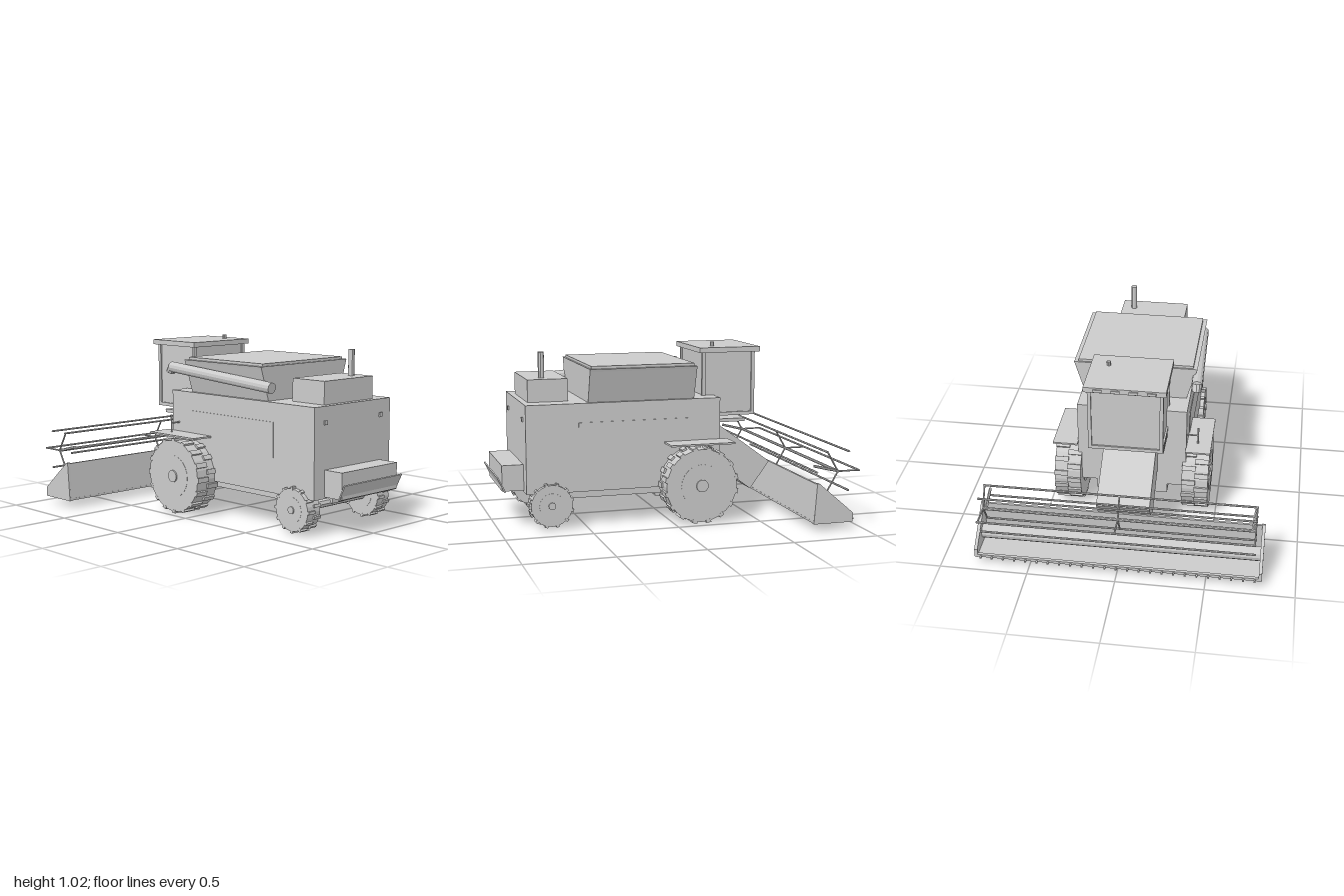
import * as THREE from 'three';

const grey = new THREE.MeshStandardMaterial({ color: 0xcccccc, flatShading: true });

export function createModel() {
  const model = new THREE.Group();

  function add(name, geometry, parent = model) {
    const mesh = new THREE.Mesh(geometry, grey);
    mesh.name = name;
    parent.add(mesh);
    return mesh;
  }
  // box given by its extents on each axis
  function box(name, x0, x1, y0, y1, z0, z1, parent) {
    const mesh = add(name, new THREE.BoxGeometry(x1 - x0, y1 - y0, z1 - z0), parent);
    mesh.position.set((x0 + x1) / 2, (y0 + y1) / 2, (z0 + z1) / 2);
    return mesh;
  }
  // round bar between two points
  function rod(name, a, b, r, sides = 8, parent = model) {
    const from = new THREE.Vector3(...a), to = new THREE.Vector3(...b);
    const mesh = add(name, new THREE.CylinderGeometry(r, r, from.distanceTo(to), sides), parent);
    mesh.position.copy(from).add(to).multiplyScalar(0.5);
    mesh.quaternion.setFromUnitVectors(new THREE.Vector3(0, 1, 0), to.sub(from).normalize());
    return mesh;
  }
  // side profile of [z, y] points extruded across x
  function prism(name, points, x0, x1, parent) {
    const shape = new THREE.Shape(points.map(([z, y]) => new THREE.Vector2(-z, y)));
    const geometry = new THREE.ExtrudeGeometry(shape, { depth: x1 - x0, bevelEnabled: false });
    return add(name, geometry.rotateY(Math.PI / 2).translate(x0, 0, 0), parent);
  }

  // Body and chassis
  box('body', -0.32, 0.32, 0.21, 0.72, -0.31, 0.845);
  box('chassis', -0.21, 0.21, 0.15, 0.21, -0.31, 0.575);
  box('engineHood', -0.205, 0.205, 0.72, 0.85, 0.575, 0.81);
  rod('exhaust', [0.13, 0.84, 0.715], [0.13, 1, 0.715], 0.018, 10);
  box('strawChopper', -0.235, 0.235, 0.22, 0.37, 0.845, 0.97);
  prism('chopperFlap', [[0.95, 0.217], [0.957, 0.213], [1, 0.303], [0.993, 0.307]], -0.245, 0.245);
  for (const s of [-1, 1]) {
    box('sidePanel', s * 0.3215 - 0.0025, s * 0.3215 + 0.0025, 0.41, 0.61, -0.14, 0.54);
    box('rearLight', s * 0.233 - 0.012, s * 0.233 + 0.012, 0.618, 0.642, 0.84, 0.853);
  }

  // Grain tank flared to the sides, with its lid
  const tankShape = new THREE.Shape([[-0.3, 0.72], [0.3, 0.72], [0.355, 0.9], [0.36, 0.915], [-0.36, 0.915], [-0.355, 0.9]]
    .map(p => new THREE.Vector2(...p)));
  add('grainTank', new THREE.ExtrudeGeometry(tankShape, { depth: 0.635, bevelEnabled: false }).translate(0, 0, -0.155));
  box('tankLid', -0.335, 0.335, 0.915, 0.93, -0.145, 0.468);

  // Unloading auger folded along the right side
  rod('unloadingAuger', [-0.335, 0.8, 0.54], [-0.367, 0.866, -0.26], 0.032, 12);
  rod('augerSpout', [-0.367, 0.875, -0.25], [-0.367, 0.835, -0.272], 0.027, 10);

  // Cab
  const cab = new THREE.Group();
  cab.name = 'cab';
  model.add(cab);
  box('cabGlass', -0.202, 0.202, 0.61, 0.975, -0.555, -0.245, cab);
  box('cabFloor', -0.212, 0.212, 0.595, 0.615, -0.565, -0.235, cab);
  for (const s of [-1, 1]) for (const z of [-0.565, -0.255]) {
    const x = s * 0.202;
    box('cabPost', x - 0.01, x + 0.01, 0.6, 0.975, z, z + 0.02, cab);
  }
  box('cabRoof', -0.23, 0.23, 0.975, 1.005, -0.59, -0.215, cab);
  for (const x of [-0.15, -0.05, 0.05, 0.15]) {
    box('workLight', x - 0.025, x + 0.025, 0.98, 0.996, -0.597, -0.585, cab);
  }
  rod('beacon', [0.127, 1, -0.325], [0.127, 1.03, -0.325], 0.012, 8, cab);
  box('cabPlatform', -0.21, 0.21, 0.555, 0.575, -0.505, -0.3);

  // Wheels: side-facing drum, rim, hub and staggered lugs
  function wheel(name, x, y, z, r, width, lugs) {
    const g = new THREE.Group();
    g.name = name;
    g.position.set(x, y, z);
    model.add(g);
    const disc = (part, radius, w) =>
      add(part, new THREE.CylinderGeometry(radius, radius, w, 24).rotateZ(Math.PI / 2), g);
    disc('tyre', r - 0.01, width);
    disc('rim', r * 0.56, width + 0.003);
    disc('hub', r * 0.16, width + 0.02);
    for (let i = 0; i < lugs; i++) for (const side of [-1, 1]) {
      const a = (i + (side > 0 ? 0.5 : 0)) / lugs * Math.PI * 2;
      const lug = add('lug', new THREE.BoxGeometry(width * 0.52, 0.02, r * 0.13), g);
      lug.position.set(side * width * 0.245, Math.cos(a) * (r - 0.01), Math.sin(a) * (r - 0.01));
      lug.rotation.x = a;
    }
  }
  for (const s of [-1, 1]) {
    wheel('frontWheel', s * 0.378, 0.23, -0.155, 0.224, 0.155, 16);
    wheel('rearWheel', s * 0.297, 0.143, 0.705, 0.13, 0.1, 12);
    box('fender', s * 0.39 - 0.073, s * 0.39 + 0.073, 0.466, 0.476, -0.355, 0.033);
  }
  rod('frontAxle', [-0.32, 0.23, -0.155], [0.32, 0.23, -0.155], 0.035);
  rod('rearAxle', [-0.27, 0.143, 0.705], [0.27, 0.143, 0.705], 0.025);
  box('rearAxleMount', -0.05, 0.05, 0.14, 0.21, 0.67, 0.74);

  // Handrail on the right fender
  rod('handrailPost', [-0.383, 0.45, -0.25], [-0.383, 0.58, -0.25], 0.005);
  rod('handrailBar', [-0.383, 0.53, -0.25], [-0.31, 0.53, -0.25], 0.005);

  // Feeder house
  prism('feederHouse', [[-0.35, 0.54], [-0.69, 0.29], [-0.57, 0.125], [-0.28, 0.34], [-0.28, 0.48]], -0.153, 0.153);

  // Cutting header
  const header = new THREE.Group();
  header.name = 'header';
  model.add(header);
  prism('headerBack', [[-0.7, 0.05], [-0.712, 0.05], [-0.73, 0.275], [-0.717, 0.275]], -0.805, 0.805, header);
  box('headerFloor', -0.805, 0.805, 0.05, 0.062, -0.935, -0.7, header);
  for (const s of [-1, 1]) {
    prism('headerEnd', [[-0.7, 0.047], [-0.94, 0.047], [-0.94, 0.1], [-0.73, 0.28], [-0.717, 0.28]],
      s * 0.803 - 0.009, s * 0.803 + 0.009, header);
  }
  rod('crossAuger', [-0.795, 0.125, -0.79], [0.795, 0.125, -0.79], 0.042, 12, header);
  box('cutterBar', -0.795, 0.795, 0.052, 0.068, -0.943, -0.925, header);
  for (let i = -12; i <= 12; i++) {
    const x = i * 0.0645;
    box('knifeTooth', x - 0.005, x + 0.005, 0.053, 0.062, -0.96, -0.935, header);
  }

  // Reel with six bats on three-armed spiders
  const reel = new THREE.Group();
  reel.name = 'reel';
  reel.position.set(0, 0.335, -0.863);
  model.add(reel);
  rod('reelShaft', [-0.765, 0, 0], [0.765, 0, 0], 0.009, 8, reel);
  for (let i = 0; i < 6; i++) {
    const a = i * Math.PI / 3, y = Math.sin(a) * 0.13, z = -Math.cos(a) * 0.13;
    rod('bat', [-0.77, y, z], [0.77, y, z], 0.006, 6, reel);
    if (i % 2 === 0) for (const x of [-0.763, 0, 0.763]) {
      rod('spoke', [x, 0, 0], [x, y, z], 0.005, 6, reel);
    }
  }
  for (const s of [-1, 1]) {
    rod('reelArm', [s * 0.745, 0, 0], [s * 0.755, 0.036, 0.145], 0.008, 6, reel);
  }
  return model;
}
